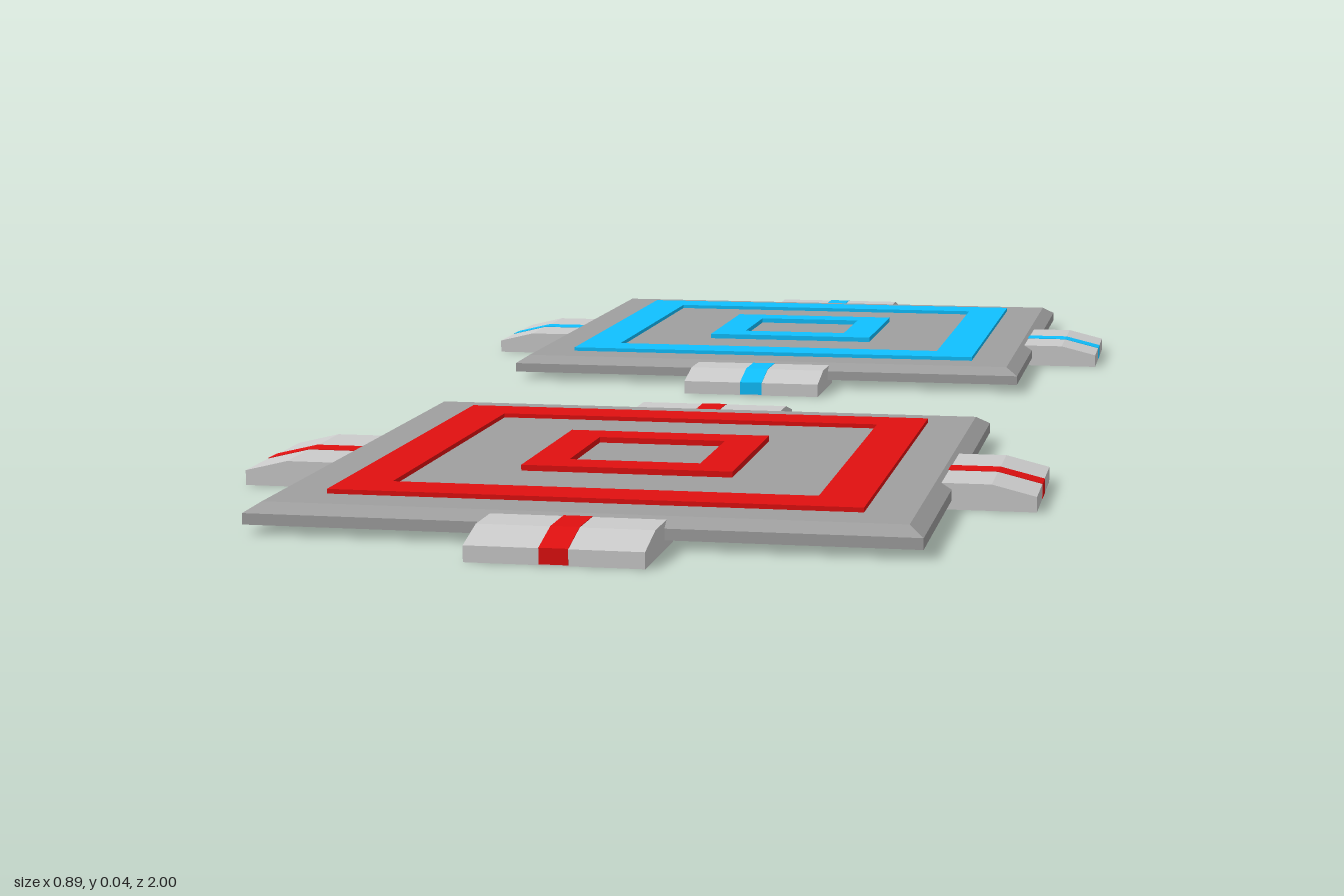
import * as THREE from 'three';

const TOP = 0.032; // height of the plate's upper face

const material = (color) => new THREE.MeshStandardMaterial({ color, flatShading: true });

function addMesh(parent, name, geometry, mat) {
  const mesh = new THREE.Mesh(geometry, mat);
  mesh.name = name;
  parent.add(mesh);
  return mesh;
}

// Square plate with a bevelled upper rim: a four-sided lathe
function plateGeometry() {
  const profile = [[0, 0.01], [0.354, 0.01], [0.354, 0.022], [0.338, TOP], [0, TOP]];
  const points = profile.map(([r, y]) => new THREE.Vector2(r * Math.SQRT2, y));
  return new THREE.LatheGeometry(points, 4, Math.PI / 4);
}

// Flat square frame lying on the plate
function frameGeometry(outer, inner, top) {
  const square = (Type, h) =>
    new Type([[-h, -h], [h, -h], [h, h], [-h, h]].map(([x, y]) => new THREE.Vector2(x, y)));
  const shape = square(THREE.Shape, outer);
  shape.holes.push(square(THREE.Path, inner));
  const geometry = new THREE.ExtrudeGeometry(shape, { depth: top - TOP + 0.001, bevelEnabled: false });
  return geometry.rotateX(-Math.PI / 2).translate(0, TOP - 0.001, 0);
}

// Sloped side profile of a foot, pointing along +x and swept to the given width
function footGeometry(width, bottom, proud) {
  const shape = new THREE.Shape([
    [0.312, bottom], [0.446 + proud, bottom], [0.446 + proud, 0.017 + proud],
    [0.397, 0.029 + proud], [0.312, 0.029 + proud],
  ].map(([x, y]) => new THREE.Vector2(x, y)));
  return new THREE.ExtrudeGeometry(shape, { depth: width, bevelEnabled: false })
    .translate(0, 0, -width / 2);
}

function createPad(name, z, accentColor) {
  const pad = new THREE.Group();
  pad.name = name;
  pad.position.z = z;
  const plateMat = material(0x9f9f9f);
  const footMat = material(0xcccccc);
  const accent = material(accentColor);

  addMesh(pad, 'plate', plateGeometry(), plateMat);
  addMesh(pad, 'outerFrame', frameGeometry(0.285, 0.23, 0.037), accent);
  addMesh(pad, 'innerFrame', frameGeometry(0.118, 0.074, 0.0385), accent);

  // One striped foot in the middle of each side
  for (let i = 0; i < 4; i++) {
    const foot = new THREE.Group();
    foot.name = 'foot';
    foot.rotation.y = (i * Math.PI) / 2;
    addMesh(foot, 'footBlock', footGeometry(0.184, 0, 0), footMat);
    addMesh(foot, 'footStripe', footGeometry(0.03, 0.001, 0.0006), accent);
    pad.add(foot);
  }
  return pad;
}

export function createModel() {
  const model = new THREE.Group();
  model.name = 'padPair';
  model.add(createPad('redPad', 0.5534, 0xe01010));
  model.add(createPad('bluePad', -0.5534, 0x10c0ff));
  return model;
}
